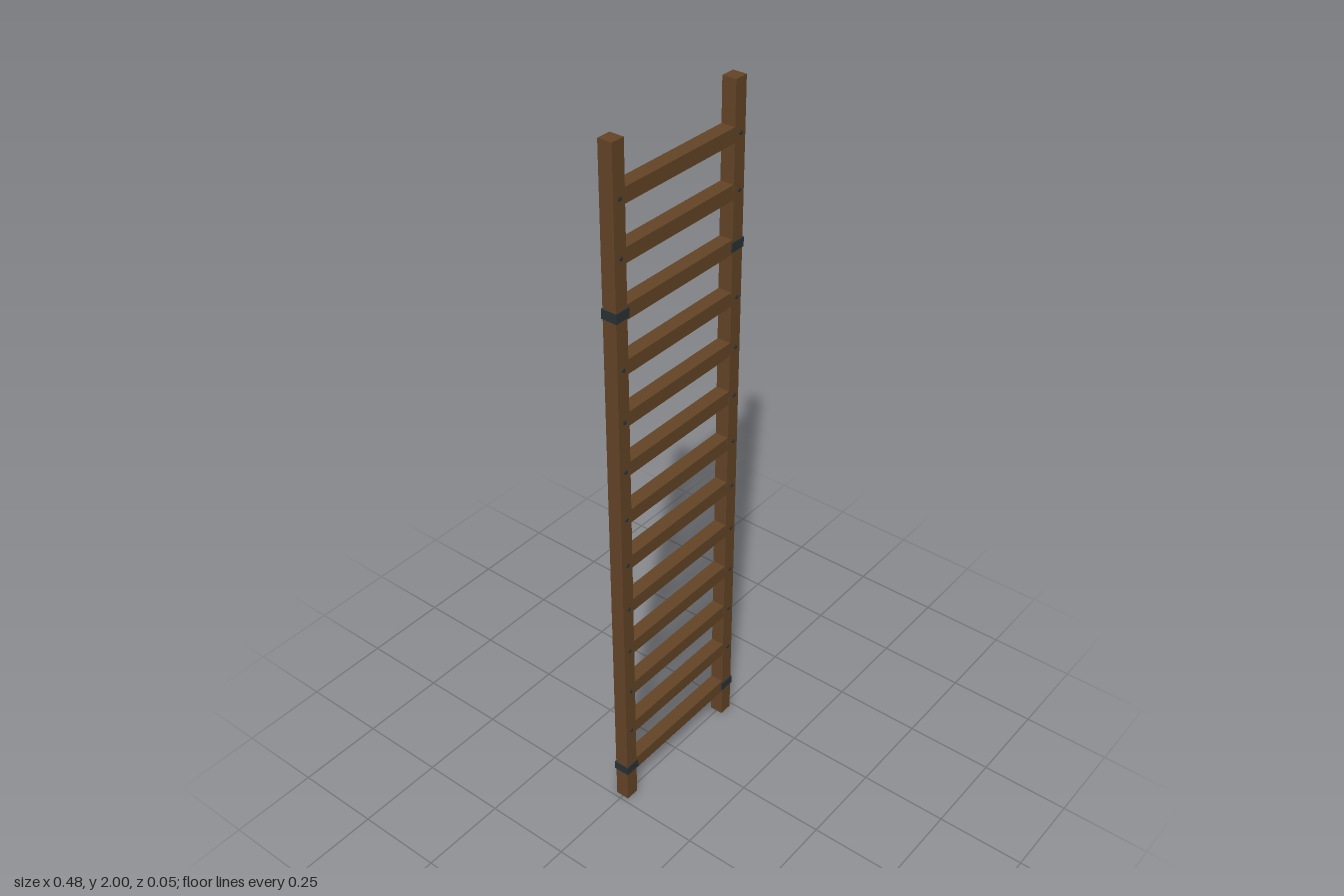
import * as THREE from 'three';

export function createModel() {
  const wood = new THREE.MeshStandardMaterial({ color: 0x654527 });
  wood.name = 'brownWood';
  const iron = new THREE.MeshStandardMaterial({ color: 0x2a3236 });
  iron.name = 'darkIron';

  const model = new THREE.Group();
  model.name = 'ladder';

  const add = (name, geometry, material, x, y, z) => {
    const mesh = new THREE.Mesh(geometry, material);
    mesh.name = name;
    mesh.position.set(x, y, z);
    model.add(mesh);
    return mesh;
  };

  const railX = 0.218, midZ = -0.0015;
  const rungCount = 13, firstRung = 0.111, rungStep = 0.146;
  const bandedRungs = [0, 10];

  const railGeometry = new THREE.BoxGeometry(0.04, 2, 0.04);
  const rungGeometry = new THREE.BoxGeometry(0.43, 0.04, 0.0392);
  const bandGeometry = new THREE.BoxGeometry(0.046, 0.026, 0.046);
  const nailGeometry = new THREE.CylinderGeometry(0.005, 0.005, 0.008, 8);
  nailGeometry.rotateX(Math.PI / 2);

  // Upright rails
  for (const side of [-1, 1]) {
    add(side > 0 ? 'leftRail' : 'rightRail', railGeometry, wood, side * railX, 1, midZ);
  }

  // Rungs, each held by an iron band or a nail at both ends
  for (let i = 0; i < rungCount; i++) {
    const y = firstRung + i * rungStep;
    add('rung', rungGeometry, wood, 0, y, midZ);
    for (const side of [-1, 1]) {
      if (bandedRungs.includes(i)) add('ironBand', bandGeometry, iron, side * 0.217, y, midZ);
      else add('nail', nailGeometry, iron, side * railX, y, 0.0185);
    }
  }
  return model;
}
